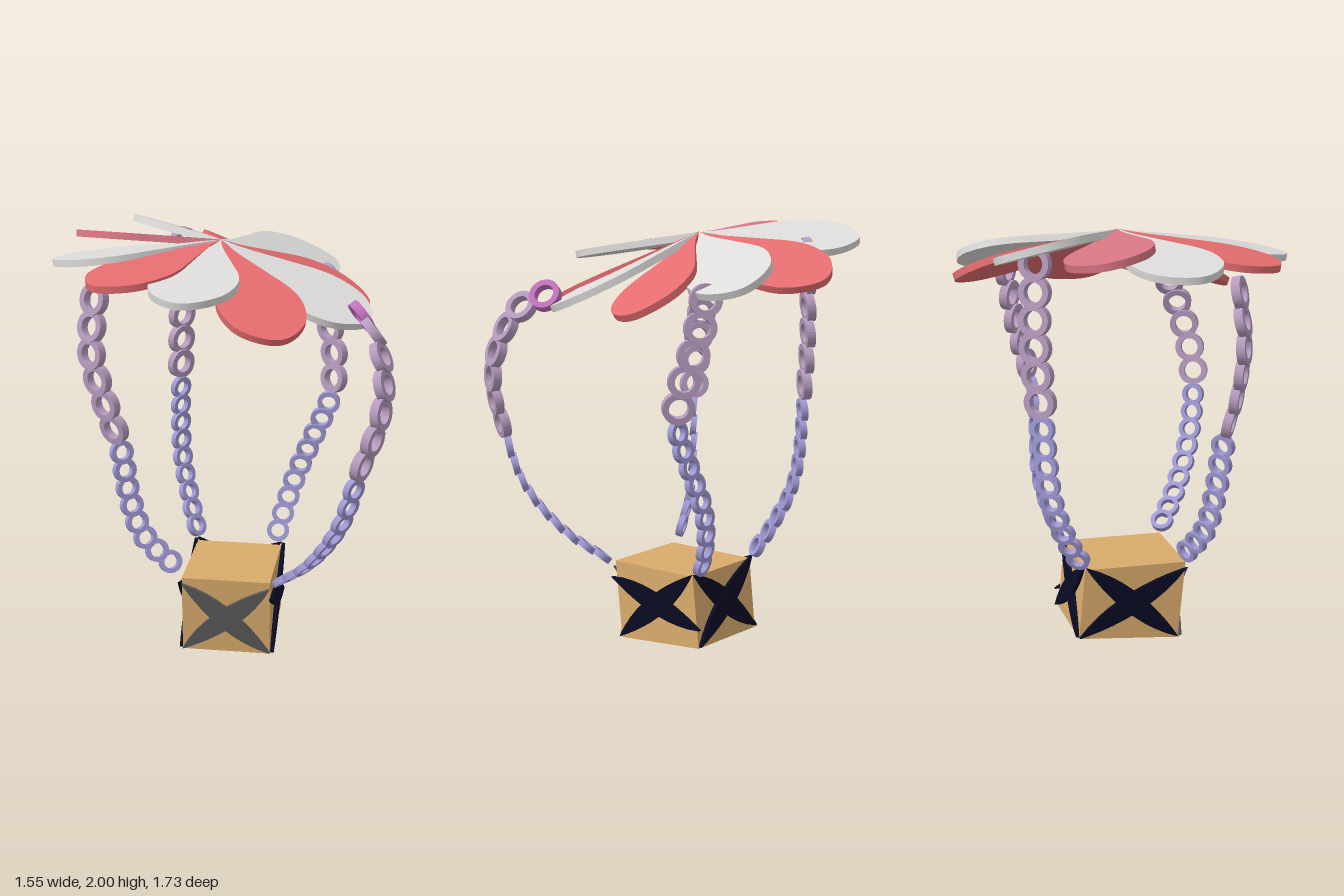
import * as THREE from 'three';

const mat = (name, color) => {
  const m = new THREE.MeshStandardMaterial({ color });
  m.name = name;
  return m;
};
const V = (x, y, z) => new THREE.Vector3(x, y, z);

export function createModel() {
  const red = mat('red', 0xe46c6f);
  const pink = mat('pink', 0xd87683);
  const paleGrey = mat('paleGrey', 0xdcdbd9);
  const tan = mat('tan', 0xd9ab6b);
  const navy = mat('navy', 0x0a0a24);
  const darkGrey = mat('darkGrey', 0x585858);
  const lavender = mat('lavender', 0x9f99d4);
  const mauve = mat('mauve', 0xb59abd);
  const magenta = mat('magenta', 0xc070bc);

  const model = new THREE.Group();
  model.name = 'hangingBasket';
  const add = (parent, geometry, material, name) => {
    const mesh = new THREE.Mesh(geometry, material);
    mesh.name = name;
    parent.add(mesh);
    return mesh;
  };

  // Canopy: ten overlapping petals, each pitched down and rolled like a fan blade
  const canopy = new THREE.Group();
  canopy.name = 'canopy';
  model.add(canopy);
  const half = [[0.1, 0.03], [0.28, 0.112], [0.42, 0.175], [0.53, 0.192], [0.65, 0.165], [0.735, 0.09]];
  const petalShape = new THREE.Shape();
  petalShape.moveTo(0, 0);
  petalShape.splineThru([
    ...half.map(([r, w]) => new THREE.Vector2(r, -w)),
    new THREE.Vector2(0.77, 0),
    ...half.slice().reverse().map(([r, w]) => new THREE.Vector2(r, w)),
    new THREE.Vector2(0, 0.003),
  ]);
  const petalGeometry = new THREE.ExtrudeGeometry(petalShape, { depth: 0.032, bevelEnabled: false, curveSegments: 48 });
  petalGeometry.translate(0, 0, -0.032);
  const roll = 0.2, tiltX = -0.06, tiltZ = -0.22;
  // Angle in degrees, downward pitch, length factor, colour
  const petals = [
    [-2, 0.18, 1.05, paleGrey], [36, 0.26, 1, red], [72, 0.175, 1.05, paleGrey], [111.5, 0.28, 0.99, red],
    [146, 0.095, 1.04, paleGrey], [180, 0.2, 1, red], [220, 0.29, 1.01, paleGrey], [251, 0.245, 0.99, pink],
    [286.5, 0.21, 0.965, paleGrey], [324, 0.31, 0.99, red],
  ];
  for (const [degrees, pitch, stretch, colour] of petals) {
    const a = THREE.MathUtils.degToRad(degrees), c = Math.cos(a), s = Math.sin(a);
    const along = V(c, tiltX * c + tiltZ * s - pitch, s).normalize();
    const across = V(s, tiltX * s - tiltZ * c + roll, -c);
    const up = along.clone().cross(across).normalize();
    across.copy(up).cross(along);
    const m = new THREE.Matrix4()
      .makeBasis(along, across, up)
      .scale(V(stretch, 1, 1))
      .setPosition(-0.018, 1.95, -0.14);
    add(canopy, petalGeometry.clone().applyMatrix4(m), colour, 'petal');
  }

  // Crate: slightly leaning box turned on its corner, its lid nearer level than its base
  const W = 0.485, H = 0.36, D = 0.42;
  const crate = new THREE.Group();
  crate.name = 'crate';
  crate.position.set(-0.005, 0.208, -0.08);
  crate.quaternion
    .setFromUnitVectors(V(0, 1, 0), V(-0.07, 1, 0.07).normalize())
    .multiply(new THREE.Quaternion().setFromAxisAngle(V(0, 1, 0), 0.67));
  model.add(crate);
  const boxGeometry = new THREE.BoxGeometry(W, H, D);
  const corners = boxGeometry.attributes.position;
  for (let i = 0; i < corners.count; i++) {
    if (corners.getY(i) > 0) corners.setY(i, H / 2 - 0.08 * corners.getX(i));
  }
  boxGeometry.computeVertexNormals();
  add(crate, boxGeometry, tan, 'crateBox');

  // Crossed leaf-shaped straps on the four sides
  const strapGeometry = (length) => {
    const l = length / 2, w = 0.05;
    const shape = new THREE.Shape();
    shape.moveTo(-l, 0);
    shape.bezierCurveTo(-l * 0.5, -w * 0.9, l * 0.3, -w * 1.7, l, 0);
    shape.bezierCurveTo(l * 0.5, w * 0.9, -l * 0.3, w * 1.7, -l, 0);
    return new THREE.ExtrudeGeometry(shape, { depth: 0.018, bevelEnabled: false, curveSegments: 10 });
  };
  const sides = [
    { yaw: 0, width: W, out: D / 2, material: navy, shallow: true },
    { yaw: Math.PI / 2, width: D, out: W / 2, material: navy },
    { yaw: Math.PI, width: W, out: D / 2, material: navy },
    { yaw: -Math.PI / 2, width: D, out: W / 2, material: darkGrey },
  ];
  for (const side of sides) {
    const cross = new THREE.Group();
    cross.name = 'crossStraps';
    cross.rotation.y = side.yaw;
    crate.add(cross);
    for (const sign of [1, -1]) {
      const isShallow = side.shallow && sign < 0;
      const rise = isShallow ? 0.21 : H * 0.96;
      const run = isShallow ? W * 1.1 : side.width;
      const strap = add(cross, strapGeometry(Math.hypot(rise, run)), side.material, 'strap');
      strap.rotation.z = sign * Math.atan2(rise, run);
      strap.position.set(0, isShallow ? 0.015 : 0, side.out + sign * 0.002);
    }
  }

  // Chain link: flat ring of unit radius
  const ringShape = new THREE.Shape().absarc(0, 0, 1, 0, Math.PI * 2, false);
  ringShape.holes.push(new THREE.Path().absarc(0, 0, 0.61, 0, Math.PI * 2, true));
  const linkGeometry = new THREE.ExtrudeGeometry(ringShape, { depth: 0.55, bevelEnabled: false, curveSegments: 18 });
  linkGeometry.translate(0, 0, -0.275);

  // Chains: path from canopy to crate, height of the colour change, link facing above and below it
  const chains = [
    {
      name: 'rightChain', change: 1.03, upper: V(-1, 0, 0.1), lower: V(-0.2, 0, 1),
      path: [[-0.65, 1.74, -0.29], [-0.675, 1.5, -0.29], [-0.63, 1.25, -0.25], [-0.57, 1.05, -0.23],
        [-0.53, 0.8, -0.22], [-0.47, 0.6, -0.19], [-0.31, 0.4, -0.1]],
    },
    {
      name: 'frontChain', change: 1.08, upper: V(0.25, 0, 1), lower: V(0, 0, 1), topLink: magenta,
      path: [[0.14, 1.685, 0.59], [0.1, 1.62, 0.71], [0.05, 1.42, 0.81], [0, 1.25, 0.82], [-0.05, 1.08, 0.78],
        [-0.07, 0.78, 0.68], [-0.07, 0.55, 0.5], [-0.06, 0.37, 0.25]],
    },
    {
      name: 'backChain', change: 1.2, upper: V(0, 0, -1), lower: V(0, 0, -1),
      path: [[0.165, 1.86, -0.61], [0.165, 1.5, -0.62], [0.145, 1.2, -0.61], [0.12, 0.8, -0.58],
        [0.09, 0.58, -0.49], [0.05, 0.4, -0.38]],
    },
    {
      name: 'leftChain', change: 1.16, upper: V(1, 0, 0), lower: V(1, 0, -0.9),
      path: [[0.59, 1.7, -0.05], [0.58, 1.5, -0.01], [0.56, 1.3, 0.05], [0.52, 1.13, 0.06], [0.48, 0.95, 0.0],
        [0.43, 0.72, -0.08], [0.37, 0.55, -0.1], [0.29, 0.39, -0.09]],
    },
  ];
  for (const chain of chains) {
    const group = new THREE.Group();
    group.name = chain.name;
    model.add(group);
    const curve = new THREE.CatmullRomCurve3(chain.path.map((p) => V(...p)));
    const length = curve.getLength();
    for (let s = 0, i = 0; s <= length; i++) {
      const p = curve.getPointAt(s / length);
      const t = curve.getTangentAt(s / length);
      const isUpper = p.y > chain.change;
      const r = isUpper ? 0.072 : 0.055;
      const n = (isUpper ? chain.upper : chain.lower).clone();
      n.addScaledVector(t, -n.dot(t)).normalize();
      const material = i === 0 && chain.topLink ? chain.topLink : isUpper ? mauve : lavender;
      const link = add(group, linkGeometry, material, 'link');
      link.position.copy(p);
      link.quaternion.setFromRotationMatrix(new THREE.Matrix4().makeBasis(t, n.clone().cross(t), n));
      link.rotateY(-0.11); // overlap like shingles
      link.scale.setScalar(r);
      s += r * (isUpper ? 1.7 : 1.62);
    }
  }
  return model;
}
